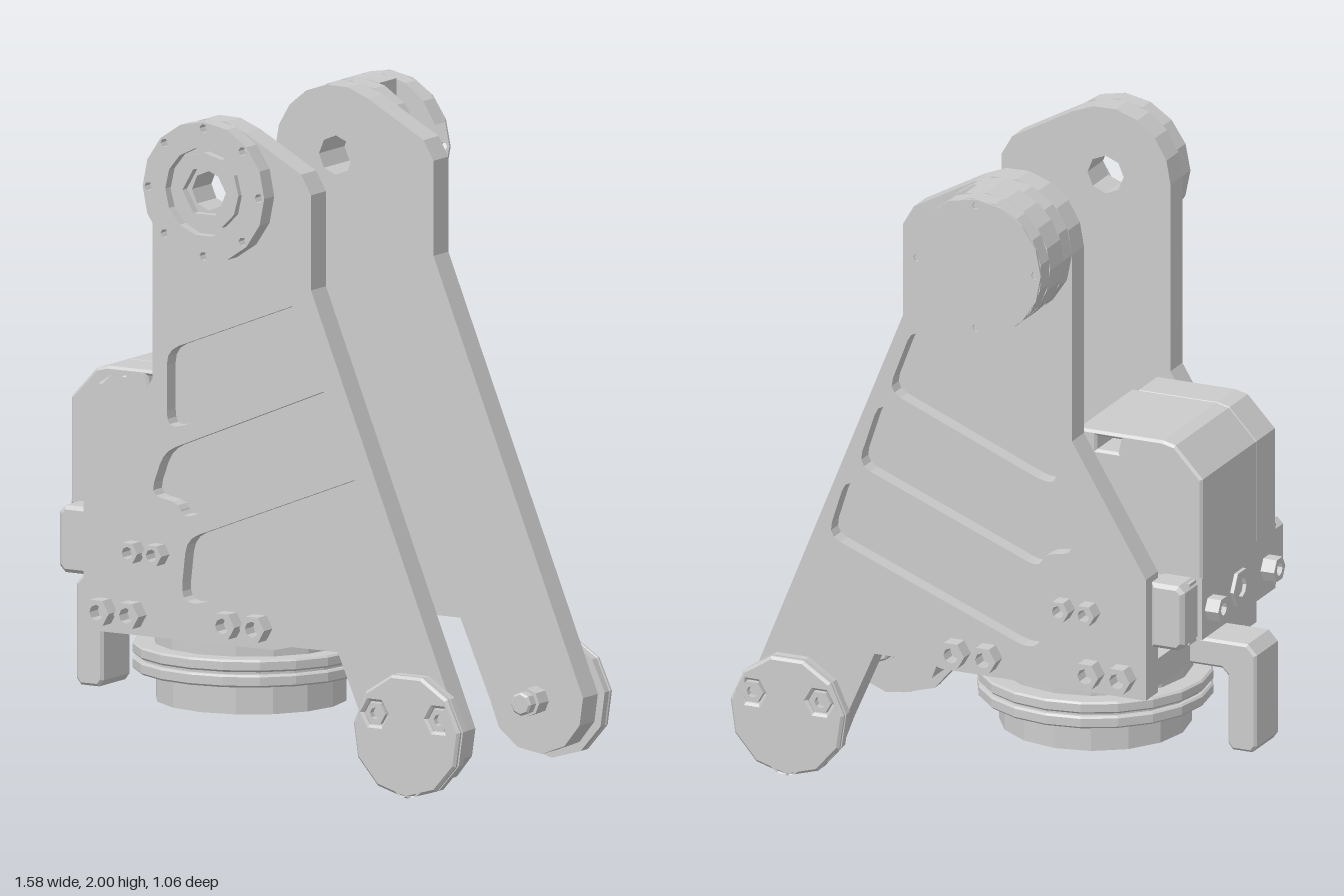
import * as THREE from 'three';

const grey = new THREE.MeshStandardMaterial({ color: 0xcccccc, flatShading: true });
const TAU = Math.PI * 2;
const V = (x, y) => new THREE.Vector2(x, y);
const pts = (list) => list.map(([x, y]) => V(x, y));

// Points along an arc; a full turn gives a regular polygon
function arc(x, y, r, n, a0 = 0, a1 = TAU) {
  const full = Math.abs(a1 - a0) >= TAU - 1e-6;
  return Array.from({ length: full ? n : n + 1 }, (_, i) => {
    const a = a0 + (a1 - a0) * i / n;
    return V(x + r * Math.cos(a), y + r * Math.sin(a));
  });
}

// Closed outline with softened corners
function rounded(list, r = 0.045) {
  const p = pts(list), s = new THREE.Path();
  p.forEach((c, i) => {
    const a = p[(i + p.length - 1) % p.length], b = p[(i + 1) % p.length];
    const k = (q) => c.clone().lerp(q, Math.min(0.45, r / c.distanceTo(q)));
    const s0 = k(a), s1 = k(b);
    if (i) s.lineTo(s0.x, s0.y); else s.moveTo(s0.x, s0.y);
    s.quadraticCurveTo(c.x, c.y, s1.x, s1.y);
  });
  return s.getPoints(3);
}

// Slab of an outline between two depths along z
function slab(parent, name, outline, holes, z0, z1, bevel = 0) {
  const shape = new THREE.Shape(outline);
  holes.forEach((h) => shape.holes.push(new THREE.Path(h)));
  const lo = Math.min(z0, z1), depth = Math.abs(z1 - z0);
  const geo = new THREE.ExtrudeGeometry(shape, {
    depth: depth - 2 * bevel, bevelEnabled: bevel > 0, bevelSize: bevel,
    bevelThickness: bevel, bevelOffset: -bevel, bevelSegments: 1,
  });
  geo.translate(0, 0, lo + bevel);
  const mesh = new THREE.Mesh(geo, grey);
  mesh.name = name;
  parent.add(mesh);
  return mesh;
}

// Horizontal slab: the outline is in (x, -z)
function layer(parent, name, outline, holes, y0, y1, bevel = 0) {
  const mesh = slab(parent, name, outline, holes, y0, y1, bevel);
  mesh.geometry.rotateX(-Math.PI / 2);
  return mesh;
}

function box(parent, name, x0, x1, y0, y1, z0, z1) {
  const mesh = new THREE.Mesh(new THREE.BoxGeometry(x1 - x0, y1 - y0, z1 - z0), grey);
  mesh.position.set((x0 + x1) / 2, (y0 + y1) / 2, (z0 + z1) / 2);
  mesh.name = name;
  parent.add(mesh);
}

// Hex bolt head with a socket, facing along x
function sideBolt(parent, name, x0, x1, y, z, r) {
  const mesh = slab(parent, name, arc(0, 0, r, 6), [arc(0, 0, r * 0.5, 8)], -(x1 - x0) / 2, (x1 - x0) / 2);
  mesh.rotation.y = Math.PI / 2;
  mesh.position.set((x0 + x1) / 2, y, z);
}

const BX = -0.115, BY = 1.785, BR = 0.215; // upper pivot
const FX = 0.595, FY = 0.19;               // foot pivot
const CX = -0.225, CZ = 0.08;              // turntable axis

const pockets = [
  [[-0.28, 1.6], [-0.18, 1.545], [-0.05, 1.545], [0.05, 1.59], [0.12, 1.66], [0.17, 1.5], [-0.24, 1.34], [-0.28, 1.35]],
  [[-0.28, 1.28], [-0.28, 1.05], [-0.23, 1.05], [0.28, 1.26], [0.2, 1.47]],
  [[-0.29, 0.97], [-0.34, 0.83], [-0.24, 0.82], [-0.22, 0.77], [0.38, 1.01], [0.31, 1.22]],
  [[-0.21, 0.71], [-0.23, 0.53], [-0.18, 0.51], [0.48, 0.77], [0.42, 0.96]],
  [[0.21, 0.53], [0.27, 0.61], [0.48, 0.70], [0.57, 0.53], [0.52, 0.52]],
].map((p) => rounded(p));

const plateOutline = [
  ...pts([[-0.575, 0.4], [-0.575, 0.785], [-0.33, 1.19]]),
  ...arc(BX, BY, BR, 6, Math.PI, 1.02),
  ...pts([[0.195, 1.86], [0.23, 1.8], [0.23, 1.51]]),
  ...arc(FX, FY, 0.165, 7, 0.65, -Math.PI + 0.1),
  ...pts([[0.325, 0.415], [0.16, 0.415], [0.1, 0.4]]),
];

// One leg plate; d is the distance outward from its inner face
function leg(front) {
  const g = new THREE.Group();
  g.name = front ? 'frontLeg' : 'backLeg';
  const z = (d) => (front ? 0.387 + d : -0.225 - d);
  const add = (name, outline, holes, d0, d1, bevel) => slab(g, name, outline, holes, z(d0), z(d1), bevel);
  const bore = arc(BX, BY, 0.06, 8);

  add('plateWeb', plateOutline, [bore], 0, 0.035);
  add('plateRibs', plateOutline, [bore, ...pockets], 0.035, 0.085);

  // Foot pad with three recessed bolts and an inward pin
  const bolts = [[0.485, 0.25], [0.71, 0.25], [0.6, 0.05]];
  const pad = arc(FX, FY, 0.19, 11, Math.PI / 2 + Math.PI / 11, TAU + Math.PI / 2 + Math.PI / 11);
  add('footPadBase', pad, [], 0.085, 0.11);
  add('footPad', pad, bolts.map(([x, y]) => arc(x, y, 0.042, 6)), 0.11, 0.134, 0.008);
  bolts.forEach(([x, y]) => add('footBolt', arc(x, y, 0.036, 6), [arc(x, y, 0.018, 8)], 0.11, 0.13));
  add('footPinCollar', arc(FX, FY, 0.043, 8), [], 0.0, -0.055);
  add('footPin', arc(FX, FY, 0.036, 8), [], -0.055, -0.095, 0.006);

  // Frame bolts
  [[-0.5, 0.465, 0.044], [-0.395, 0.465, 0.044], [-0.055, 0.465, 0.044], [0.05, 0.465, 0.044],
    [-0.39, 0.657, 0.035], [-0.305, 0.657, 0.035]].forEach(([x, y, r]) => {
    add('boltHead', arc(x, y, r, 6), [arc(x, y, r * 0.55, 8)], 0.085, 0.133);
  });

  // Upper pivot: open flange in front, notched closed housing behind
  const rim = arc(BX, BY, BR, 16);
  if (front) {
    const screws = arc(BX, BY, 0.195, 8).map((p) => arc(p.x, p.y, 0.014, 6));
    add('pivotBase', rim, [bore], 0.085, 0.11);
    add('pivotFlange', rim, [arc(BX, BY, 0.135, 14), ...screws], 0.11, 0.142);
    add('pivotRing', arc(BX, BY, 0.12, 12), [arc(BX, BY, 0.078, 6)], 0.11, 0.136);
  } else {
    add('housingBase', rim, [bore], 0.085, 0.145);
    add('housingCore', arc(BX, BY, BR, 12, 1.263, TAU - 1.263), [], 0.145, 0.24);
    add('housingCap', [...arc(BX, BY, BR, 14, 0.356, TAU - 0.678), ...pts([[-0.02, 1.65], [-0.02, 1.86]])], [], 0.24, 0.3);
    const screws = arc(BX, BY, 0.195, 4).map((p) => arc(p.x, p.y, 0.012, 6));
    add('housingCover', rim, screws, 0.3, 0.307);
  }
  return g;
}

// Motor with its mounting block
function motor() {
  const g = new THREE.Group();
  g.name = 'motor';
  const body = (right) => pts([[-0.7, 0.75], [-0.7, 1.08], [-0.61, 1.175], [-0.57, 1.185],
    [right - 0.04, 1.185], [right, 1.15], [right, 0.75]]);
  const slots = [
    pts([[-0.61, 1.125], [-0.56, 1.168], [-0.49, 1.168], [-0.52, 1.125]]),
    pts([[-0.43, 1.168], [-0.42, 1.125], [-0.35, 1.125], [-0.35, 1.168]]),
  ];
  slab(g, 'motorBody', body(-0.25), slots, -0.18, 0.21, 0.008);
  slab(g, 'motorBodyStep', body(-0.27), slots, 0.2, 0.345, 0.008);
  box(g, 'mountBlock', -0.7, -0.25, 0.57, 0.765, -0.18, 0.34);
  box(g, 'mountBlockSides', -0.68, -0.255, 0.565, 0.76, -0.225, 0.387);
  slab(g, 'mountFlange', pts([[-0.685, 0.58], [-0.685, 0.745], [-0.665, 0.765], [-0.575, 0.765], [-0.575, 0.56], [-0.665, 0.56]]),
    [], -0.28, 0.44, 0.012);
  [-0.12, 0.275].forEach((z) => sideBolt(g, 'endBolt', -0.745, -0.685, 0.657, z, 0.04));
  sideBolt(g, 'endSocket', -0.712, -0.7, 0.657, CZ, 0.06);
  [-0.13, CZ, 0.295].forEach((z) => sideBolt(g, 'innerBolt', -0.25, -0.24, 0.657, z, 0.05));
  return g;
}

// Base plate, hook and turntable
function base() {
  const g = new THREE.Group();
  g.name = 'base';
  const ring = (r, n = 16) => arc(CX, -CZ, r, n);
  const eighth = Math.PI / 8;
  const holes = (r) => arc(CX, -CZ, 0.244, 8, eighth, TAU + eighth).map((p) => arc(p.x, p.y, r, 8));
  const inner = arc(CX, -CZ, 0.185, 8, eighth, TAU + eighth);
  layer(g, 'basePlate', pts([[-0.575, -0.387], [0.1, -0.387], [0.1, 0.225], [-0.575, 0.225]]),
    [inner, ...holes(0.045)], 0.42, 0.507);
  const drilled = [inner, ...holes(0.022)];
  layer(g, 'turntableNeck', ring(0.295), drilled, 0.34, 0.42);
  layer(g, 'upperFlange', ring(0.357, 20), drilled, 0.305, 0.342, 0.006);
  layer(g, 'flangeGroove', ring(0.34, 20), drilled, 0.29, 0.31);
  layer(g, 'lowerFlange', ring(0.357, 20), drilled, 0.258, 0.296, 0.006);
  layer(g, 'turntableFoot', ring(0.29), drilled, 0.165, 0.26);

  // Hub and diagonal spokes
  layer(g, 'hub', ring(0.095, 8), [ring(0.052, 8)], 0.19, 0.27);
  for (let i = 0; i < 4; i++) {
    const spoke = new THREE.Mesh(new THREE.BoxGeometry(0.13, 0.07, 0.05), grey);
    const a = Math.PI / 4 + i * Math.PI / 2;
    spoke.name = 'spoke';
    spoke.position.set(CX + 0.14 * Math.cos(a), 0.23, CZ + 0.14 * Math.sin(a));
    spoke.rotation.y = -a;
    g.add(spoke);
  }

  // Bent stop tab
  slab(g, 'hook', pts([[-0.57, 0.507], [-0.765, 0.507], [-0.795, 0.475], [-0.795, 0.185], [-0.78, 0.165],
    [-0.715, 0.165], [-0.7, 0.185], [-0.7, 0.4], [-0.68, 0.42], [-0.57, 0.42]]), [], 0, 0.163, 0.008);
  return g;
}

export function createModel() {
  const model = new THREE.Group();
  model.name = 'robotArmLink';
  model.add(leg(true), leg(false), motor(), base());
  return model;
}
